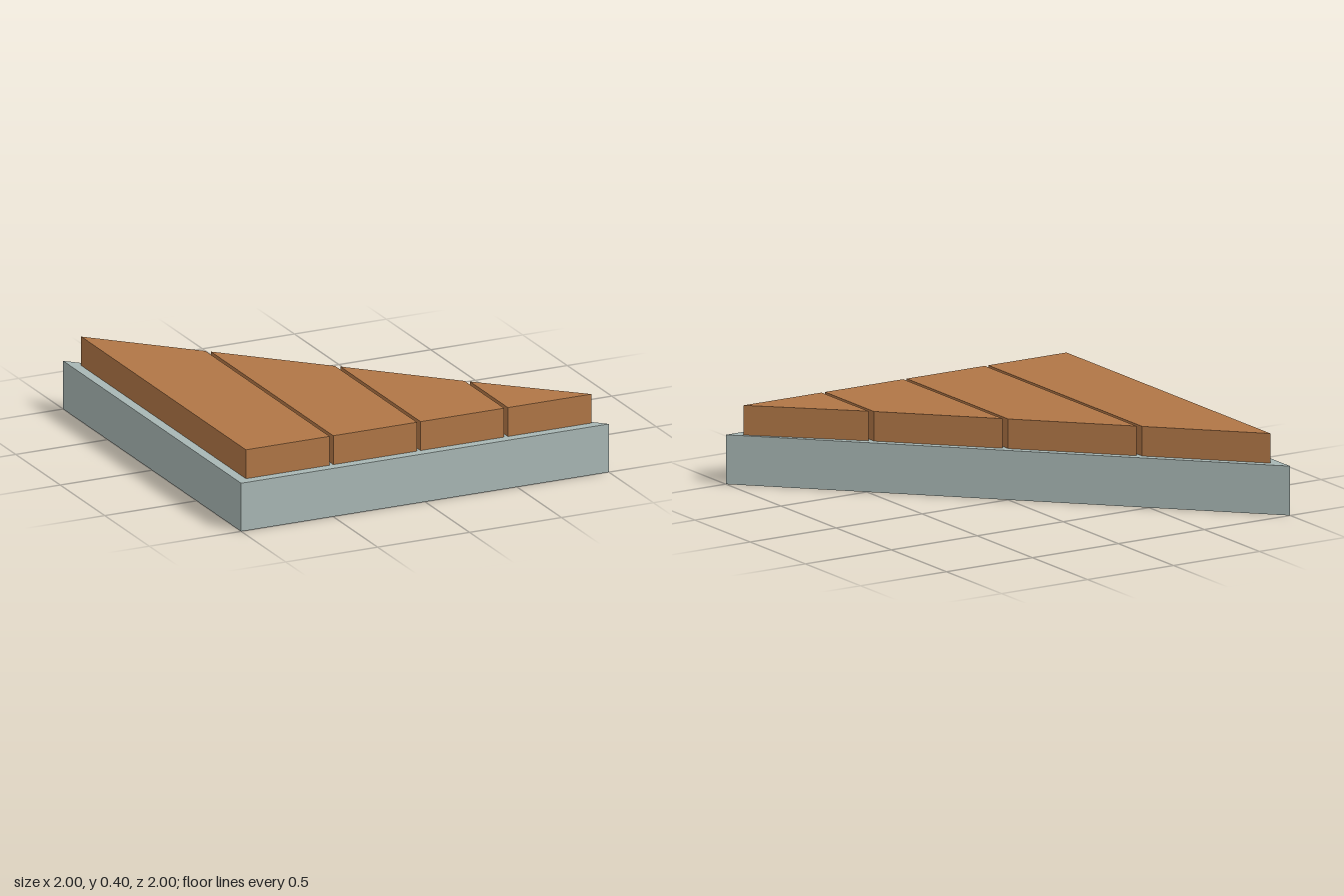
import * as THREE from 'three';

// Upright prism from a plan outline of [x, z] corners
function prism(name, outline, bottom, height, material) {
  const shape = new THREE.Shape(outline.map(([x, z]) => new THREE.Vector2(x, -z)));
  const geometry = new THREE.ExtrudeGeometry(shape, { depth: height, bevelEnabled: false });
  geometry.rotateX(-Math.PI / 2);
  const mesh = new THREE.Mesh(geometry, material);
  mesh.name = name;
  mesh.position.y = bottom;
  return mesh;
}

export function createModel() {
  const stone = new THREE.MeshStandardMaterial({ color: 0xa8b7b4 });
  stone.name = 'greyStone';
  const wood = new THREE.MeshStandardMaterial({ color: 0xb07646 });
  wood.name = 'brownWood';

  const model = new THREE.Group();
  model.name = 'triangularDeck';

  // Triangular slab
  model.add(prism('base', [[-1, 1], [1, 1], [-1, -1]], 0, 0.25, stone));

  // Four planks, cut off along the diagonal
  const planks = new THREE.Group();
  planks.name = 'planks';
  const front = 0.95, width = 0.455, pitch = 0.475;
  for (let i = 0; i < 4; i++) {
    const x0 = -0.95 + i * pitch, x1 = x0 + width;
    const outline = [[x0, front], [x1, front]];
    if (i < 3) outline.push([x1, x1 + 0.05]); // the last plank ends in a point
    outline.push([x0, x0 + 0.05]);
    planks.add(prism('plank' + (i + 1), outline, 0.25, 0.15, wood));
  }
  model.add(planks);
  return model;
}
